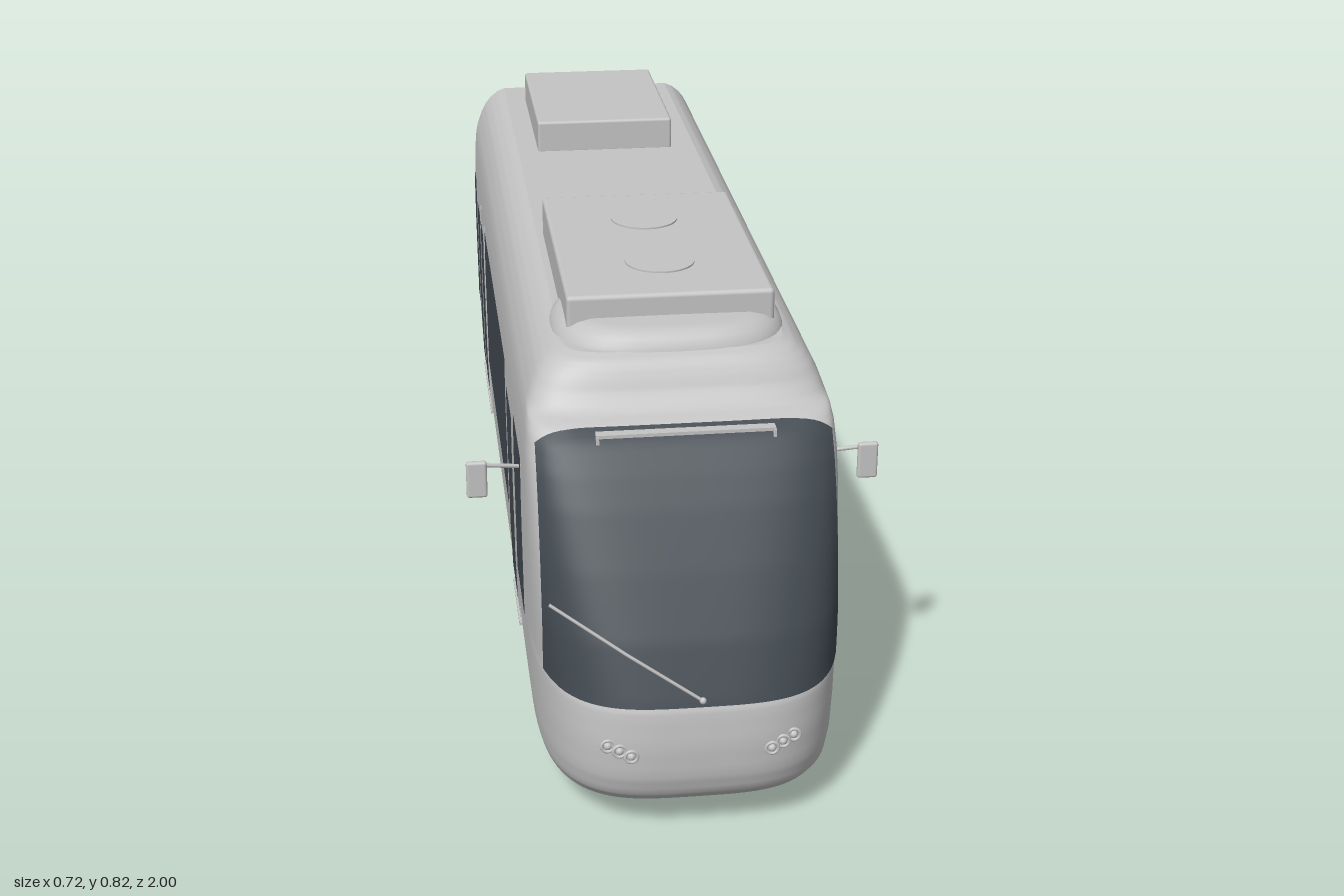
import * as THREE from 'three';
import { RoundedBoxGeometry } from 'three/addons/geometries/RoundedBoxGeometry.js';

const mat = (name, color, side = THREE.FrontSide) => {
  const m = new THREE.MeshStandardMaterial({ color, side });
  m.name = name;
  return m;
};
const lerp = THREE.MathUtils.lerp;

// Body profile: height, half width, front z
const KEYS = [
  [0.065, 0.253, 0.955], [0.09, 0.257, 0.98], [0.13, 0.26, 0.993], [0.19, 0.262, 0.997], [0.25, 0.264, 0.993],
  [0.27, 0.264, 0.986], [0.36, 0.265, 0.947], [0.46, 0.266, 0.893], [0.55, 0.266, 0.84], [0.6, 0.265, 0.806],
  [0.64, 0.262, 0.773], [0.658, 0.259, 0.748], [0.67, 0.256, 0.712], [0.695, 0.247, 0.692], [0.715, 0.237, 0.682],
  [0.73, 0.225, 0.673], [0.743, 0.209, 0.662], [0.75, 0.192, 0.645],
];
// Plan outline values at one height
function section(y) {
  let i = 0;
  while (i < KEYS.length - 2 && y > KEYS[i + 1][0]) i++;
  const [a, b] = [KEYS[i], KEYS[i + 1]];
  const t = THREE.MathUtils.clamp((y - a[0]) / (b[0] - a[0]), 0, 1);
  const k = THREE.MathUtils.clamp((y - 0.27) / 0.39, 0, 1);
  return { w: lerp(a[1], b[1], t), f: lerp(a[2], b[2], t), d: lerp(0.4, 0.12, k), n: lerp(3.5, 5, k) };
}
function outline(y) {
  const { w, f, d, n } = section(y), pts = [[w, -1]];
  for (let i = 0; i <= 48; i++) {
    const a = Math.PI * i / 48, c = Math.cos(a);
    const s = Math.max(0, Math.sin(a));
    pts.push([Math.sign(c) * w * Math.abs(c) ** (2 / n), f - d + d * s ** (2 / n)]);
  }
  pts.push([-w, -1]);
  return pts;
}
// Grid surface through rows of points
function loft(rows) {
  const n = rows[0].length, idx = [];
  for (let r = 0; r < rows.length - 1; r++) for (let c = 0; c < n - 1; c++) {
    const a = r * n + c, b = a + n;
    idx.push(a, b, a + 1, b, b + 1, a + 1);
  }
  const g = new THREE.BufferGeometry();
  g.setAttribute('position', new THREE.Float32BufferAttribute(rows.flat(2), 3));
  g.setIndex(idx);
  g.computeVertexNormals();
  return g;
}

export function createModel() {
  const root = new THREE.Group();
  root.name = 'tram';
  const grey = mat('body grey', 0xc4c4c4);
  const shellGrey = mat('shell grey', 0xc4c4c4, THREE.DoubleSide);
  const glass = mat('dark glass', 0x414950, THREE.DoubleSide);
  const add = (name, geo, m, x = 0, y = 0, z = 0) => {
    const mesh = new THREE.Mesh(geo, m);
    mesh.name = name;
    mesh.position.set(x, y, z);
    root.add(mesh);
    return mesh;
  };
  const rod = (name, pts, r, m = grey) => add(name,
    new THREE.TubeGeometry(new THREE.CatmullRomCurve3(pts.map(p => new THREE.Vector3(...p)), false, 'catmullrom', 0), 8, r, 6), m);

  // Body shell
  const rows = [];
  KEYS.forEach((k, i) => {
    const steps = i < KEYS.length - 1 ? 3 : 1;
    for (let j = 0; j < steps; j++) {
      const y = steps > 1 ? lerp(k[0], KEYS[i + 1][0], j / steps) : k[0];
      rows.push(outline(y).map(([x, z]) => [x, y, z]));
    }
  });
  add('bodyShell', loft(rows), shellGrey);

  // Roof and floor plates follow the plan outline
  const plate = (y, depth) => new THREE.ExtrudeGeometry(
    new THREE.Shape(outline(y).map(([x, z]) => new THREE.Vector2(x, -z))),
    { depth, bevelEnabled: false }).rotateX(-Math.PI / 2);
  add('roof', plate(0.75, 0.004), grey, 0, 0.746, 0);
  add('floor', plate(0.065, 0.02), grey, 0, 0.065, 0);

  // Rear frame with a wide opening
  const rear = new THREE.Shape([
    ...KEYS.map(k => new THREE.Vector2(k[1], k[0])),
    ...KEYS.map(k => new THREE.Vector2(-k[1], k[0])).reverse()]);
  const hole = new THREE.Path();
  hole.moveTo(-0.245, 0.085).lineTo(-0.25, 0.48).quadraticCurveTo(-0.25, 0.54, -0.19, 0.54);
  hole.lineTo(0.19, 0.54).quadraticCurveTo(0.25, 0.54, 0.25, 0.48).lineTo(0.245, 0.085);
  rear.holes.push(hole);
  add('rearFrame', new THREE.ExtrudeGeometry(rear, { depth: 0.012, bevelEnabled: false }), grey, 0, 0, -1);

  // Windscreen wraps around the nose, upper corners softened
  const screen = [];
  for (let r = 0; r <= 40; r++) {
    const row = [];
    for (let c = 0; c <= 48; c++) {
      const u = c / 24 - 1, x = 0.25 * u;
      const top = 0.66 - 0.022 * Math.abs(u) ** 10;
      const y = lerp(0.263 + 0.004 * Math.abs(u) ** 10, top, r / 40);
      const { w, f, d, n } = section(y), o = 0.004;
      row.push([x, y, f - d + (d + o) * (1 - (Math.abs(x) / (w + o)) ** n) ** (1 / n)]);
    }
    screen.push(row);
  }
  add('windscreen', loft(screen), glass);

  // Side panels hug the curved wall, on its outer and inner face
  const sidePanel = (name, z0, z1, y0, y1, off, m) => {
    for (const s of [-1, 1]) for (const o of [off, -off]) {
      const grid = [];
      for (let i = 0; i <= 8; i++) {
        const y = lerp(y0, y1, i / 8), x = s * (section(y).w + o);
        grid.push([[x, y, z0], [x, y, z1]]);
      }
      add(name, loft(grid), m);
    }
  };
  for (const [z0, z1] of [[0.45, 0.64], [-0.525, 0.2], [-0.975, -0.89]])
    sidePanel('sideWindow', z0, z1, 0.25, 0.56, 0.003, glass);
  for (const [z0, z1] of [[0.255, 0.4], [-0.69, -0.58], [-0.835, -0.725]])
    sidePanel('doorWindow', z0, z1, 0.15, 0.53, 0.004, glass);
  for (const [z0, z1] of [[0.235, 0.415], [-0.705, -0.565], [-0.855, -0.71]])
    sidePanel('doorLeaf', z0, z1, 0.105, 0.555, 0.002, shellGrey);

  // Door sills and edge strips
  for (const s of [-1, 1]) {
    for (const [z, len] of [[0.325, 0.18], [-0.712, 0.3]])
      add('doorSill', new THREE.BoxGeometry(0.01, 0.006, len), grey, s * 0.259, 0.105, z);
    for (const z of [-0.563, -0.708])
      rod('doorEdge', [0.11, 0.25, 0.4, 0.56].map(y => [s * (section(y).w + 0.001), y, z]), 0.003);
  }

  // Roof equipment
  add('frontRoofUnit', new RoundedBoxGeometry(0.36, 0.078, 0.535, 2, 0.008), grey, 0, 0.784, 0.302);
  add('rearRoofUnit', new RoundedBoxGeometry(0.29, 0.07, 0.405, 2, 0.006), grey, -0.004, 0.78, -0.693);
  for (const z of [0.41, 0.18])
    add('roofFan', new THREE.CylinderGeometry(0.062, 0.062, 0.006, 32), grey, 0, 0.823, z);
  // Low rounded fairing in front of the roof unit
  const fairing = [[0.745, 1], [0.757, 0.98], [0.768, 0.93], [0.777, 0.86], [0.783, 0.76], [0.785, 0.01]].map(([y, k]) =>
    Array.from({ length: 41 }, (_, i) => {
      const a = i / 40 * Math.PI * 2, c = Math.cos(a), s = Math.sin(a);
      return [0.203 * k * Math.sign(c) * Math.abs(c) ** 0.6, y, 0.495 + 0.155 * k * Math.sign(s) * Math.abs(s) ** 0.8];
    }));
  add('roofFairing', loft(fairing), shellGrey);

  // Marker bar above the windscreen
  add('markerBar', new THREE.BoxGeometry(0.3, 0.006, 0.018), grey, 0, 0.653, 0.763);
  for (const s of [-1, 1])
    add('markerBarEnd', new THREE.BoxGeometry(0.005, 0.022, 0.018), grey, s * 0.148, 0.643, 0.766);

  // Wiper
  rod('wiper', [[0, 0.275, 0.992], [-0.12, 0.357, 0.975], [-0.245, 0.44, 0.94]], 0.003);
  add('wiperPivot', new THREE.SphereGeometry(0.006, 10, 8), grey, 0, 0.275, 0.992);

  for (const s of [-1, 1]) {
    // Mirrors
    add('mirror', new RoundedBoxGeometry(0.036, 0.068, 0.012, 3, 0.005), grey, s * 0.343, 0.514, 0.62);
    rod('mirrorArm', [[s * 0.26, 0.525, 0.6], [s * 0.34, 0.54, 0.618]], 0.004);
    // Headlamps
    for (const [x, y] of [[0.155, 0.191], [0.136, 0.184], [0.117, 0.175]]) {
      const { w, f, d, n } = section(y);
      const z = f - d + d * (1 - (x / w) ** n) ** (1 / n);
      add('headlampRing', new THREE.TorusGeometry(0.0105, 0.003, 8, 20), grey, s * x, y, z + 0.001);
      add('headlampLens', new THREE.SphereGeometry(0.007, 12, 8), grey, s * x, y, z);
    }
  }

  // Bogie: half wheels below the floor, axles, brake discs and motors
  const disc = (r, len, half = true) =>
    new THREE.CylinderGeometry(r, r, len, 32, 1, false, half ? Math.PI : 0, half ? Math.PI : Math.PI * 2).rotateZ(Math.PI / 2);
  for (const z of [0.015, -0.39]) {
    add('axle', disc(0.01, 0.34, false), grey, 0, 0.062, z);
    for (const s of [-1, 1]) {
      add('wheelTread', disc(0.057, 0.026), grey, s * 0.172, 0.067, z);
      add('wheelFlange', disc(0.066, 0.008), grey, s * 0.164, 0.067, z);
      add('brakeDisc', disc(0.038, 0.01), grey, s * 0.107, 0.067, z);
      add('axleBox', new THREE.BoxGeometry(0.02, 0.014, 0.06), grey, s * 0.195, 0.06, z);
    }
  }
  for (const z of [-0.085, -0.31])
    add('motor', disc(0.025, 0.165), grey, -0.015, 0.066, z);

  // Interior: poles, hand rails and driver's desk
  for (const s of [-1, 1]) {
    for (const z of [-0.85, -0.45, 0, 0.4])
      rod('pole', [[s * 0.13, 0.085, z], [s * 0.13, 0.745, z]], 0.005);
    rod('handRail', [[s * 0.13, 0.62, -0.9], [s * 0.13, 0.62, 0.4]], 0.004);
    for (const z of [-0.3, -0.1, 0.1]) {
      add('seat', new RoundedBoxGeometry(0.09, 0.02, 0.09, 2, 0.008), grey, s * 0.2, 0.2, z);
      add('seatBack', new RoundedBoxGeometry(0.09, 0.14, 0.02, 2, 0.008), grey, s * 0.2, 0.27, z - 0.045);
      add('seatLeg', new THREE.BoxGeometry(0.03, 0.11, 0.03), grey, s * 0.2, 0.14, z);
    }
  }
  add('driverDesk', new RoundedBoxGeometry(0.4, 0.17, 0.12, 2, 0.02), grey, 0, 0.165, 0.78);
  return root;
}
